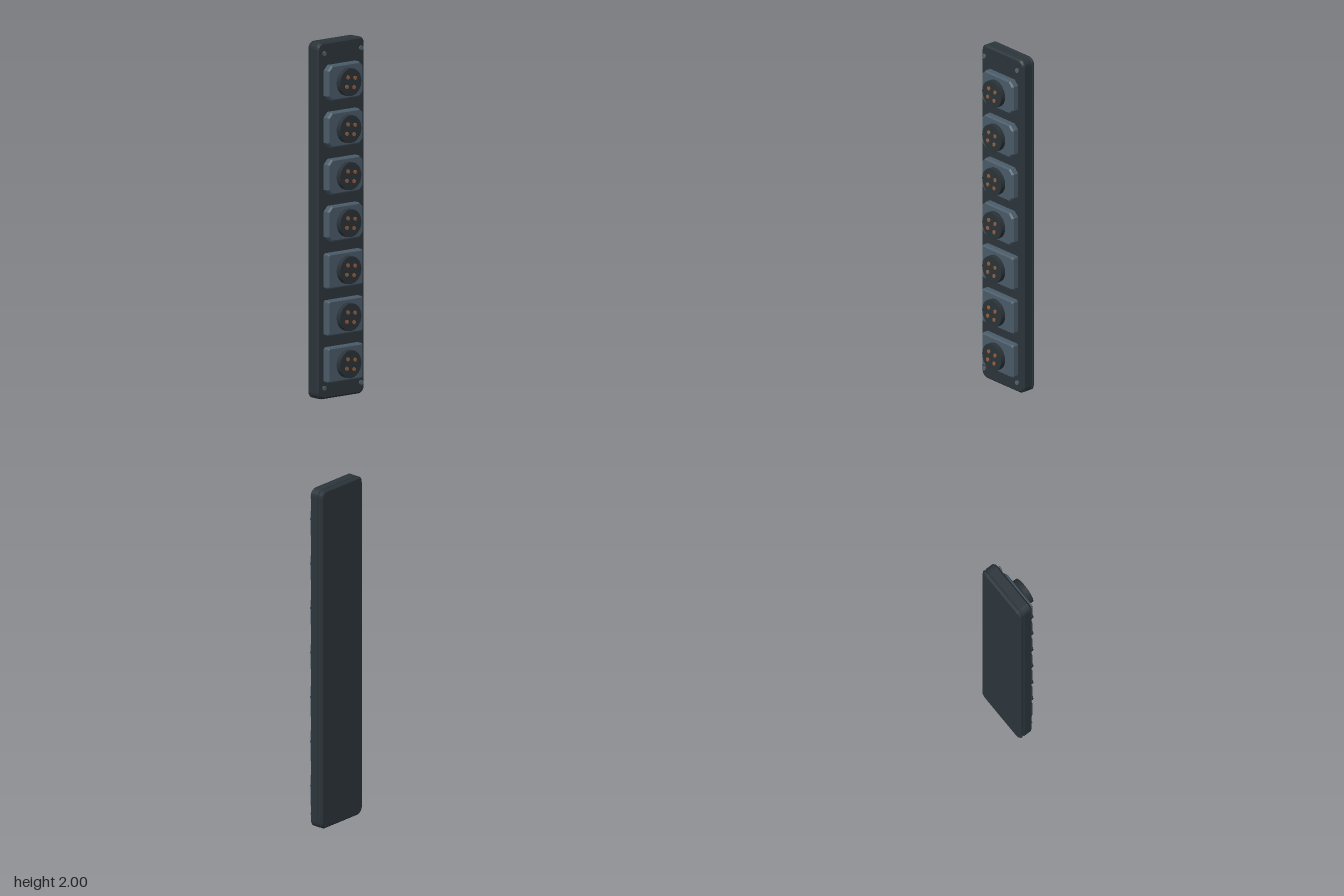
import * as THREE from 'three';

const material = (name, color) => {
  const m = new THREE.MeshStandardMaterial({ color });
  m.name = name;
  return m;
};

// Rounded rectangle as a counter-clockwise loop; seg = 1 gives chamfered corners
function outline(w, h, r, seg) {
  const pts = [];
  const corners = [[1, 1], [-1, 1], [-1, -1], [1, -1]];
  corners.forEach(([sx, sy], c) => {
    for (let i = 0; i <= seg; i++) {
      const a = (c + i / seg) * Math.PI / 2;
      pts.push([sx * (w / 2 - r) + r * Math.cos(a), sy * (h / 2 - r) + r * Math.sin(a)]);
    }
  });
  return pts;
}

// Flat-shaded slab lofted through [inset, z] sections, ordered from back to front
function slab(w, h, r, seg, sections) {
  const pos = [];
  const loops = sections.map(([d, z]) =>
    outline(w - 2 * d, h - 2 * d, Math.max(r - d * 0.6, 0.002), seg).map(([x, y]) => [x, y, z]));
  const n = loops[0].length;
  const last = loops.length - 1;
  for (let i = 0; i < n; i++) {
    const j = (i + 1) % n;
    for (let k = 0; k < last; k++) {
      const a = loops[k][i], b = loops[k][j], c = loops[k + 1][j], d = loops[k + 1][i];
      pos.push(...a, ...b, ...c, ...a, ...c, ...d);
    }
    pos.push(0, 0, sections[0][1], ...loops[0][j], ...loops[0][i]);
    pos.push(0, 0, sections[last][1], ...loops[last][i], ...loops[last][j]);
  }
  const g = new THREE.BufferGeometry();
  g.setAttribute('position', new THREE.Float32BufferAttribute(pos, 3));
  g.computeVertexNormals();
  return g;
}

// Short cylinder facing +z between two depths
function disc(radius, z0, z1, sides) {
  return new THREE.CylinderGeometry(radius, radius, z1 - z0, sides)
    .rotateX(Math.PI / 2).translate(0, 0, (z0 + z1) / 2);
}

export function createModel() {
  const model = new THREE.Group();
  model.name = 'socketStrip';

  const casing = material('dark casing', 0x2c353b);
  const plateBlue = material('slate plate', 0x4a5b69);
  const insertDark = material('dark insert', 0x2b3338);
  const copper = material('copper', 0x96603f);
  const steel = material('screw steel', 0x55626c);

  const add = (parent, name, geometry, mat, x = 0, y = 0) => {
    const mesh = new THREE.Mesh(geometry, mat);
    mesh.name = name;
    mesh.position.set(x, y, 0);
    parent.add(mesh);
    return mesh;
  };

  // Long casing with bevelled rims and a seam groove near the back
  add(model, 'casing', slab(0.346, 2, 0.037, 4, [
    [0.01, -0.087], [0, -0.077], [0, -0.069], [0.005, -0.066],
    [0.005, -0.061], [0, -0.058], [0, -0.01], [0.01, 0],
  ]), casing, 0, 1);

  // Plates: the upper four have cut corners, the lower three small round ones
  const sections = [[0, -0.002], [0, 0.031], [0.008, 0.04]];
  const cutPlate = slab(0.258, 0.198, 0.028, 1, sections);
  const roundPlate = slab(0.258, 0.198, 0.012, 3, sections);
  const insert = disc(0.078, 0.05, 0.08, 24);
  const pin = disc(0.0115, 0.075, 0.085, 10);

  for (let i = 0; i < 7; i++) {
    const socket = new THREE.Group();
    socket.name = `socket${i + 1}`;
    socket.position.y = 1.772 - i * 0.2633;
    add(socket, 'plate', i < 4 ? cutPlate : roundPlate, plateBlue);
    add(socket, 'insert', insert, insertDark);
    // Four contacts on a turned square
    for (let k = 0; k < 4; k++) {
      const a = 0.63 + k * Math.PI / 2;
      add(socket, 'contact', pin, copper, 0.037 * Math.cos(a), 0.037 * Math.sin(a));
    }
    model.add(socket);
  }

  // Corner screws
  const screw = disc(0.0135, 0.011, 0.018, 10);
  for (const x of [-0.135, 0.135]) {
    for (const y of [0.065, 1.94]) add(model, 'screw', screw, steel, x, y);
  }

  return model;
}
